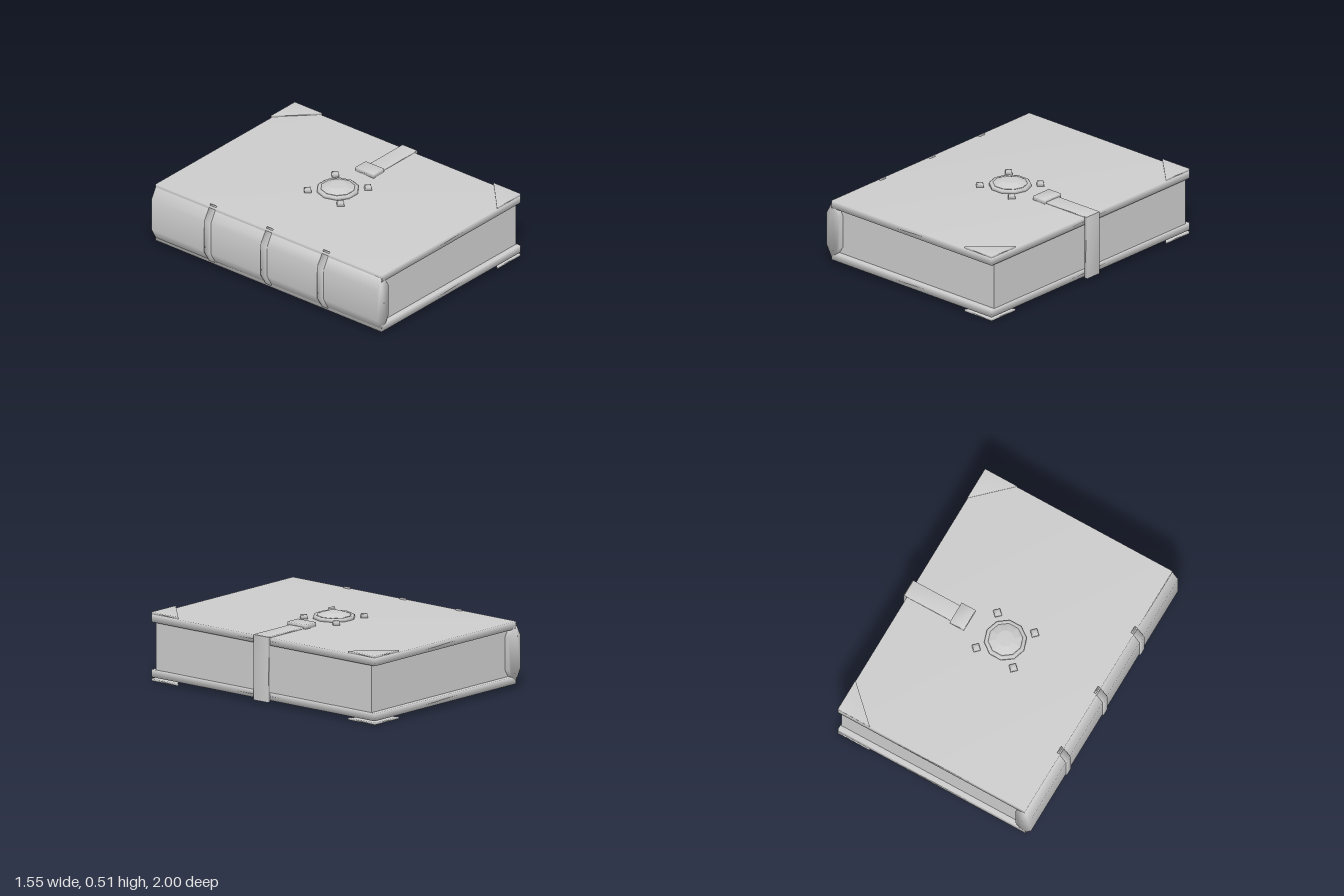
import * as THREE from 'three';
import { mergeVertices } from 'three/addons/utils/BufferGeometryUtils.js';

const grey = new THREE.MeshStandardMaterial({ color: 0xcccccc });
grey.name = 'plain grey';

// Weld shared corners so the shading rolls over the edges
function soften(geometry) {
  geometry.deleteAttribute('normal');
  geometry.deleteAttribute('uv');
  const welded = mergeVertices(geometry, 1e-4);
  welded.computeVertexNormals();
  return welded;
}

export function createModel() {
  const book = new THREE.Group();
  book.name = 'book';

  function add(name, geometry, x = 0, y = 0, z = 0) {
    const mesh = new THREE.Mesh(geometry, grey);
    mesh.name = name;
    mesh.position.set(x, y, z);
    book.add(mesh);
    return mesh;
  }

  // Box given by its limits on each axis
  function block(name, [x0, x1], [y0, y1], [z0, z1], smooth = true) {
    const g = new THREE.BoxGeometry(x1 - x0, y1 - y0, z1 - z0);
    return add(name, smooth ? soften(g) : g, (x0 + x1) / 2, (y0 + y1) / 2, (z0 + z1) / 2);
  }

  // Outline in x and y, extruded along z
  function prism(name, points, depth, z) {
    const shape = new THREE.Shape(points.map(([x, y]) => new THREE.Vector2(x, y)));
    const g = new THREE.ExtrudeGeometry(shape, { depth, bevelEnabled: false });
    return add(name, soften(g), 0, 0, z - depth / 2);
  }

  // Covers and page block
  block('topCover', [-0.72, 0.745], [0.41, 0.463], [-1, 1]);
  block('bottomCover', [-0.72, 0.745], [0.027, 0.08], [-1, 1]);
  block('pages', [-0.70, 0.737], [0.078, 0.412], [-0.965, 0.965], false);

  // Bevelled spine
  prism('spine', [
    [-0.765, 0.13], [-0.72, 0.05], [-0.675, 0.08], [-0.645, 0.13],
    [-0.645, 0.36], [-0.675, 0.41], [-0.72, 0.44], [-0.765, 0.36],
  ], 2, 0);

  // Raised bands hooked over both covers
  for (const z of [-0.5, 0, 0.5]) {
    prism('spineBand', [
      [-0.775, 0.13], [-0.705, 0.016], [-0.695, 0.03],
      [-0.695, 0.46], [-0.705, 0.474], [-0.775, 0.36],
    ], 0.052, z);
  }

  // Triangular corner guards above and below
  for (const side of [-1, 1]) {
    for (const [name, y] of [['topCornerGuard', 0.464], ['bottomCornerGuard', 0]]) {
      const corners = [[0.745, -side], [0.495, -side], [0.745, -side * 0.76]];
      const shape = new THREE.Shape(corners.map(([x, v]) => new THREE.Vector2(x, v)));
      const g = new THREE.ExtrudeGeometry(shape, { depth: 0.016, bevelEnabled: false });
      g.rotateX(-Math.PI / 2);
      add(name, soften(g), 0, y, 0);
    }
  }

  // Clasp: strap over the fore edge with a buckle plate
  block('claspStrapTop', [0.39, 0.765], [0.458, 0.474], [-0.062, 0.062]);
  block('claspStrapSide', [0.747, 0.771], [0.017, 0.47], [-0.063, 0.063]);
  block('claspPlate', [0.29, 0.398], [0.46, 0.494], [-0.08, 0.08]);

  // Ten-sided medallion: ring and faceted gem
  const ring = new THREE.LatheGeometry([
    [0.115, 0.46], [0.145, 0.46], [0.145, 0.48], [0.132, 0.488], [0.115, 0.484], [0.115, 0.46],
  ].map(([r, y]) => new THREE.Vector2(r, y)), 10, Math.PI / 2);
  add('medallionRing', soften(ring), 0.01);

  const gem = new THREE.LatheGeometry([
    [0.118, 0.46], [0.118, 0.486], [0.098, 0.494], [0.06, 0.506], [0, 0.507],
  ].map(([r, y]) => new THREE.Vector2(r, y)), 10, Math.PI / 2).toNonIndexed();
  gem.computeVertexNormals();
  add('medallionGem', gem, 0.01);

  // Diamond studs around the medallion
  for (const sx of [-1, 1]) {
    for (const sz of [-1, 1]) {
      const stud = new THREE.CylinderGeometry(0.03, 0.036, 0.026, 4);
      add('diamondStud', soften(stud), 0.01 + sx * 0.145, 0.473, sz * 0.145);
    }
  }

  return book;
}
